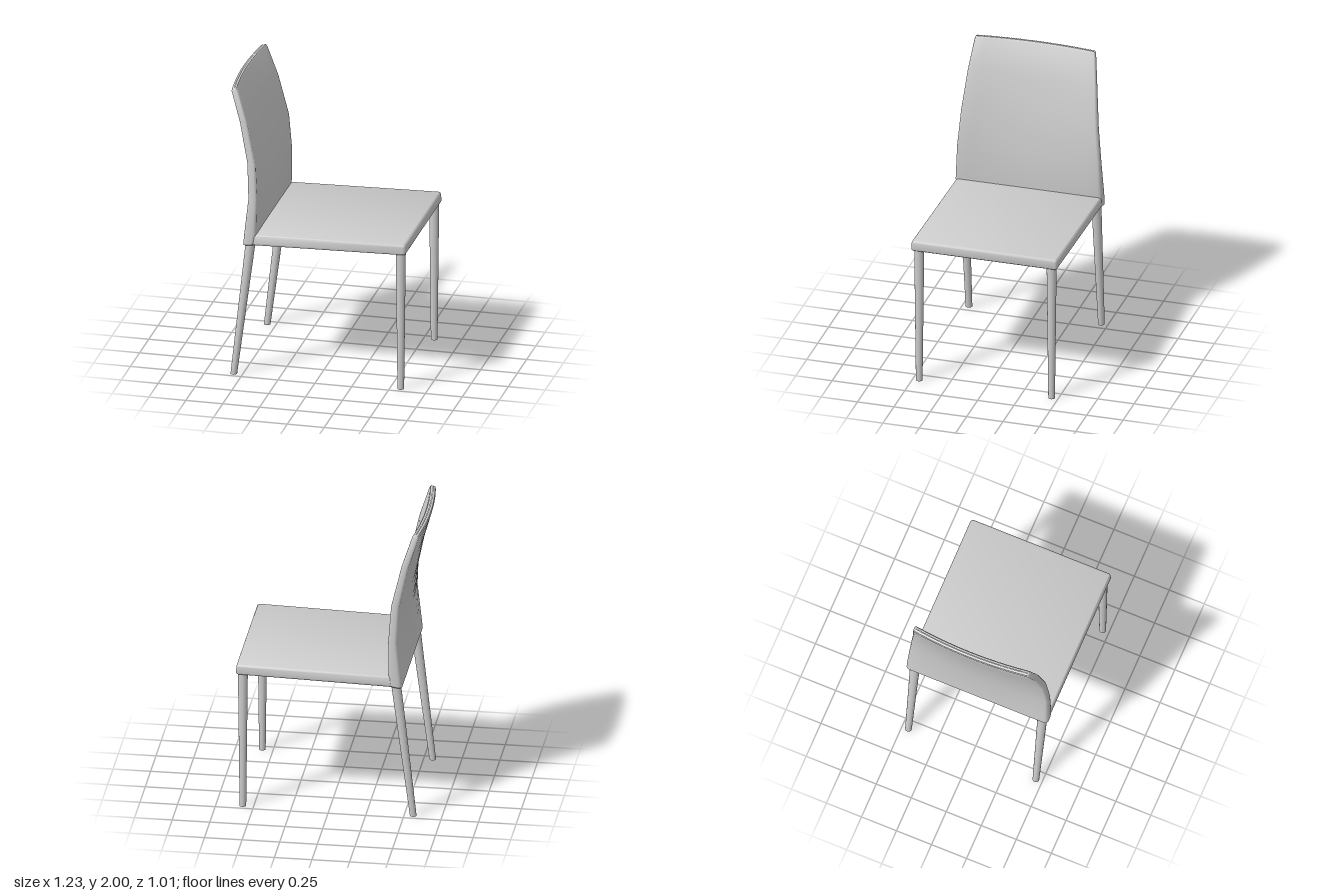
import * as THREE from 'three';
import { RoundedBoxGeometry } from 'three/addons/geometries/RoundedBoxGeometry.js';
import { toCreasedNormals } from 'three/addons/utils/BufferGeometryUtils.js';

const material = new THREE.MeshStandardMaterial({ color: 0xcccccc });

function addMesh(group, name, geometry) {
  const mesh = new THREE.Mesh(geometry, material);
  mesh.name = name;
  group.add(mesh);
}

// Rounded rectangle as [depth, z] pairs; depth runs from 0 (front) to -t (back)
function section(halfWidth, t) {
  const r = t * 0.3, steps = 12, arc = 3, w = halfWidth - r, points = [];
  const corner = (cx, cz, start) => {
    for (let k = 1; k < arc; k++) {
      const a = start + (k / arc) * Math.PI / 2;
      points.push([cx + r * Math.cos(a), cz + r * Math.sin(a)]);
    }
  };
  for (let k = 0; k <= steps; k++) points.push([0, -w + 2 * w * k / steps]);
  corner(-r, w, 0);
  points.push([-r, halfWidth], [-t + r, halfWidth]);
  corner(-t + r, w, Math.PI / 2);
  for (let k = 0; k <= steps; k++) points.push([-t, w - 2 * w * k / steps]);
  corner(-t + r, -w, Math.PI);
  points.push([-t + r, -halfWidth], [-r, -halfWidth]);
  corner(-r, -w, Math.PI * 1.5);
  return points;
}

// Tapered backrest, bowed backwards across its width and along its height
function backrestGeometry() {
  // y, front edge x, thickness, half width, bow, tilt
  const rows = [
    [0.928, -0.445, 0.002, 0.47, 0, 0.15],
    [0.935, -0.415, 0.065, 0.495, 0, 0.15],
    [0.945, -0.408, 0.082, 0.506, 0, 0.15],
    [1.01, -0.4, 0.083, 0.505, 0.002, 0.08],
    [1.25, -0.395, 0.06, 0.492, 0.022, 0],
    [1.5, -0.411, 0.055, 0.47, 0.034, 0.1],
    [1.78, -0.477, 0.046, 0.442, 0.034, 0.2],
    [1.987, -0.545, 0.042, 0.414, 0.028, 0.23],
    [2.0, -0.554, 0.03, 0.407, 0.028, 0.23],
    [2.0, -0.568, 0.002, 0.4, 0.028, 0.23],
  ];
  const positions = [], index = [];
  let n = 0;
  for (const [y, x, t, w, bow, tilt] of rows) {
    const ring = section(w, t);
    n = ring.length;
    for (const [d, z] of ring) {
      positions.push(x + d - bow * (1 - (z / w) ** 2), y + tilt * d, z);
    }
  }
  for (let i = 0; i < rows.length - 1; i++) {
    for (let j = 0; j < n; j++) {
      const a = i * n + j, c = i * n + (j + 1) % n;
      index.push(a, a + n, c, a + n, c + n, c);
    }
  }
  const geometry = new THREE.BufferGeometry();
  geometry.setAttribute('position', new THREE.Float32BufferAttribute(positions, 3));
  geometry.setIndex(index);
  return toCreasedNormals(geometry, 0.8);
}

// Thin cushion rising slightly to the front, its rim leaning in towards the top
function seatGeometry() {
  const geometry = new RoundedBoxGeometry(1.055, 0.075, 1.006, 4, 0.018);
  const p = geometry.attributes.position;
  for (let i = 0; i < p.count; i++) {
    const y = p.getY(i), inset = 1 - 0.01 * (y / 0.075 + 0.5);
    const x = p.getX(i) * inset + 0.0875;
    p.setXYZ(i, x, y + 0.982 + 0.0257 * x, p.getZ(i) * inset);
  }
  return toCreasedNormals(geometry, 0.6);
}

// Tapered round leg sheared so that its foot stays flat on the floor
function legGeometry(topX, footX, z, height) {
  const geometry = new THREE.CylinderGeometry(0.033, 0.022, height, 20);
  geometry.applyMatrix4(new THREE.Matrix4().makeShear((topX - footX) / height, 0, 0, 0, 0, 0).transpose());
  const p = geometry.attributes.position, base = new THREE.CylinderGeometry(0.033, 0.022, height, 20).attributes.position;
  for (let i = 0; i < p.count; i++) {
    const f = base.getY(i) / height + 0.5;
    p.setXYZ(i, base.getX(i) + footX + (topX - footX) * f, f * height, base.getZ(i) + z);
  }
  geometry.computeVertexNormals();
  return toCreasedNormals(geometry, 0.8);
}

export function createModel() {
  const group = new THREE.Group();
  group.name = 'chair';
  addMesh(group, 'seat', seatGeometry());
  addMesh(group, 'backrest', backrestGeometry());
  for (const [side, s] of [['left', 1], ['right', -1]]) {
    addMesh(group, side + 'FrontLeg', legGeometry(0.572, 0.572, s * 0.455, 0.98));
    addMesh(group, side + 'BackLeg', legGeometry(-0.445, -0.56, s * 0.455, 0.95));
  }
  return group;
}
